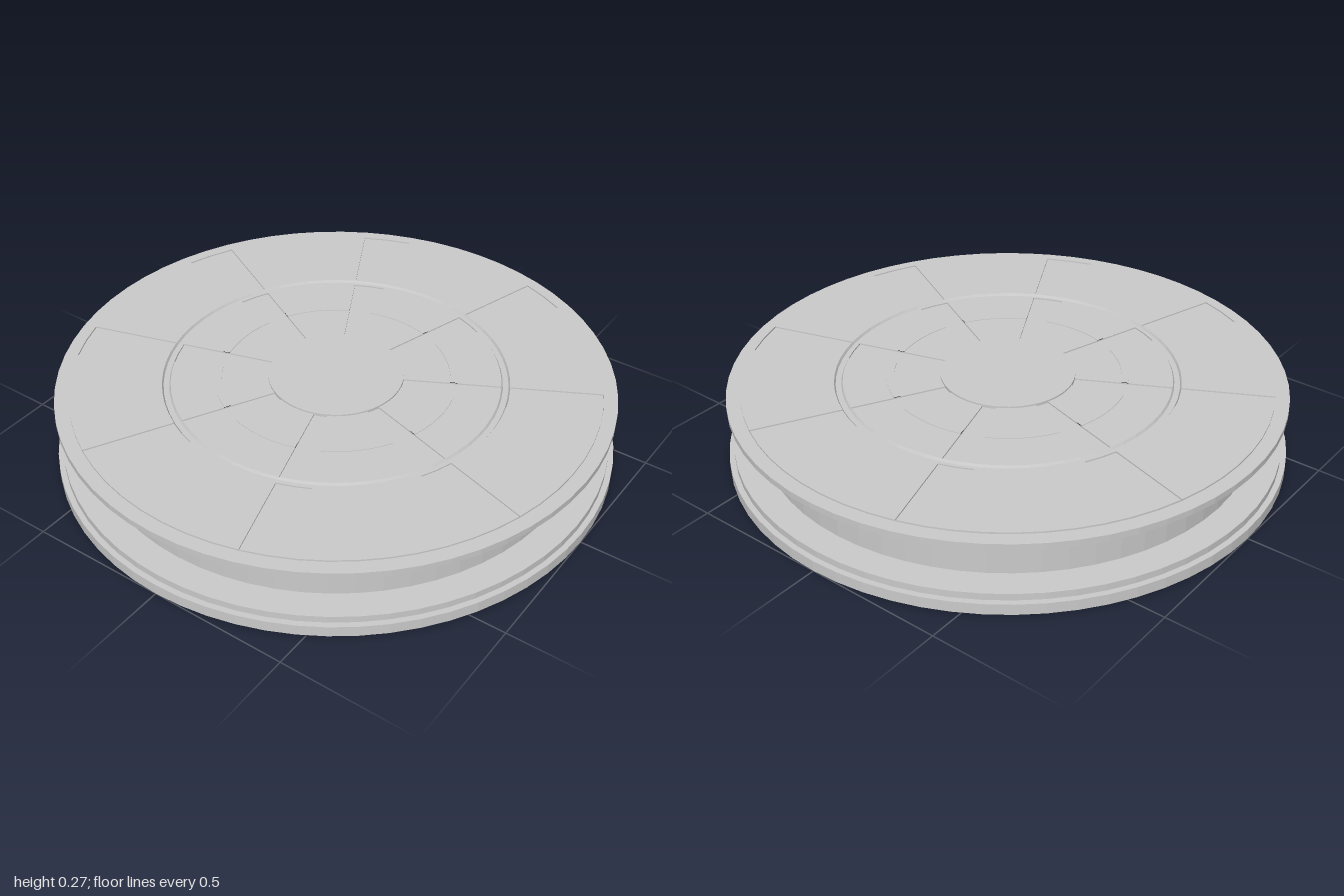
import * as THREE from 'three';

const SEGMENTS = 64;
const STEP = (Math.PI * 2) / SEGMENTS;
const DECK = 0.268;   // height of the wide panels
const SUNK = 0.263;   // height of the narrow spokes

const material = new THREE.MeshStandardMaterial({
  color: 0xcccccc, flatShading: true, side: THREE.DoubleSide,
});

// Revolved thin sheet from [radius, height] pairs, over a whole number of facets
function sheet(name, profile, first = 0, count = SEGMENTS) {
  const points = profile.map(([r, y]) => new THREE.Vector2(r, y));
  const geometry = new THREE.LatheGeometry(points, count, first * STEP, count * STEP);
  const mesh = new THREE.Mesh(geometry, material);
  mesh.name = name;
  return mesh;
}

// Small upright wall closing the height step between a panel and a spoke
function stepWall(name, inner, outer, facet) {
  const geometry = new THREE.PlaneGeometry(outer - inner, DECK - SUNK);
  geometry.translate((inner + outer) / 2, (DECK + SUNK) / 2, 0);
  geometry.rotateY(facet * STEP - Math.PI / 2);
  const mesh = new THREE.Mesh(geometry, material);
  mesh.name = name;
  return mesh;
}

// Ring of eight wide panels alternating with eight sunken spokes
function panelRing(name, inner, outer, panelProfile) {
  const ring = new THREE.Group();
  ring.name = name;
  const spokeProfile = [[outer, DECK], [outer, SUNK], [inner, SUNK], [inner, DECK]];
  for (let i = 0; i < 8; i++) {
    const start = i * 8 - 3;
    ring.add(sheet(name + 'Panel', panelProfile, start, 6));
    ring.add(sheet(name + 'Spoke', spokeProfile, start + 6, 2));
    ring.add(stepWall(name + 'Step', inner, outer, start));
    ring.add(stepWall(name + 'Step', inner, outer, start + 6));
  }
  return ring;
}

export function createModel() {
  const model = new THREE.Group();
  model.name = 'spool';

  // Hollow lower flange, open underneath
  model.add(sheet('lowerFlange', [
    [1, 0], [1, 0.04], [0.98, 0.04], [0.98, 0.065], [0.88, 0.065],
  ]));

  // Drum wall between the flanges
  model.add(sheet('drumWall', [[0.88, 0.065], [0.88, 0.225]]));

  // Upper flange with stepped rim
  model.add(sheet('upperFlange', [
    [0.88, 0.225], [0.975, 0.225], [0.975, 0.24], [0.99, 0.24],
    [0.99, 0.262], [0.94, 0.262], [0.94, DECK],
  ]));

  // Outer deck
  model.add(panelRing('outerDeck', 0.615, 0.94, [[0.94, DECK], [0.615, DECK]]));

  // Circular groove between the decks
  model.add(sheet('deckGroove', [
    [0.615, DECK], [0.61, 0.259], [0.59, 0.259], [0.585, DECK],
  ]));

  // Inner deck with a shallow ring step
  model.add(panelRing('innerDeck', 0.24, 0.585, [
    [0.585, DECK], [0.43, DECK], [0.43, DECK + 0.002],
    [0.405, DECK + 0.002], [0.405, DECK], [0.24, DECK],
  ]));

  // Raised centre disc
  model.add(sheet('centreDisc', [[0.24, DECK], [0.24, 0.274], [0, 0.274]]));

  return model;
}
